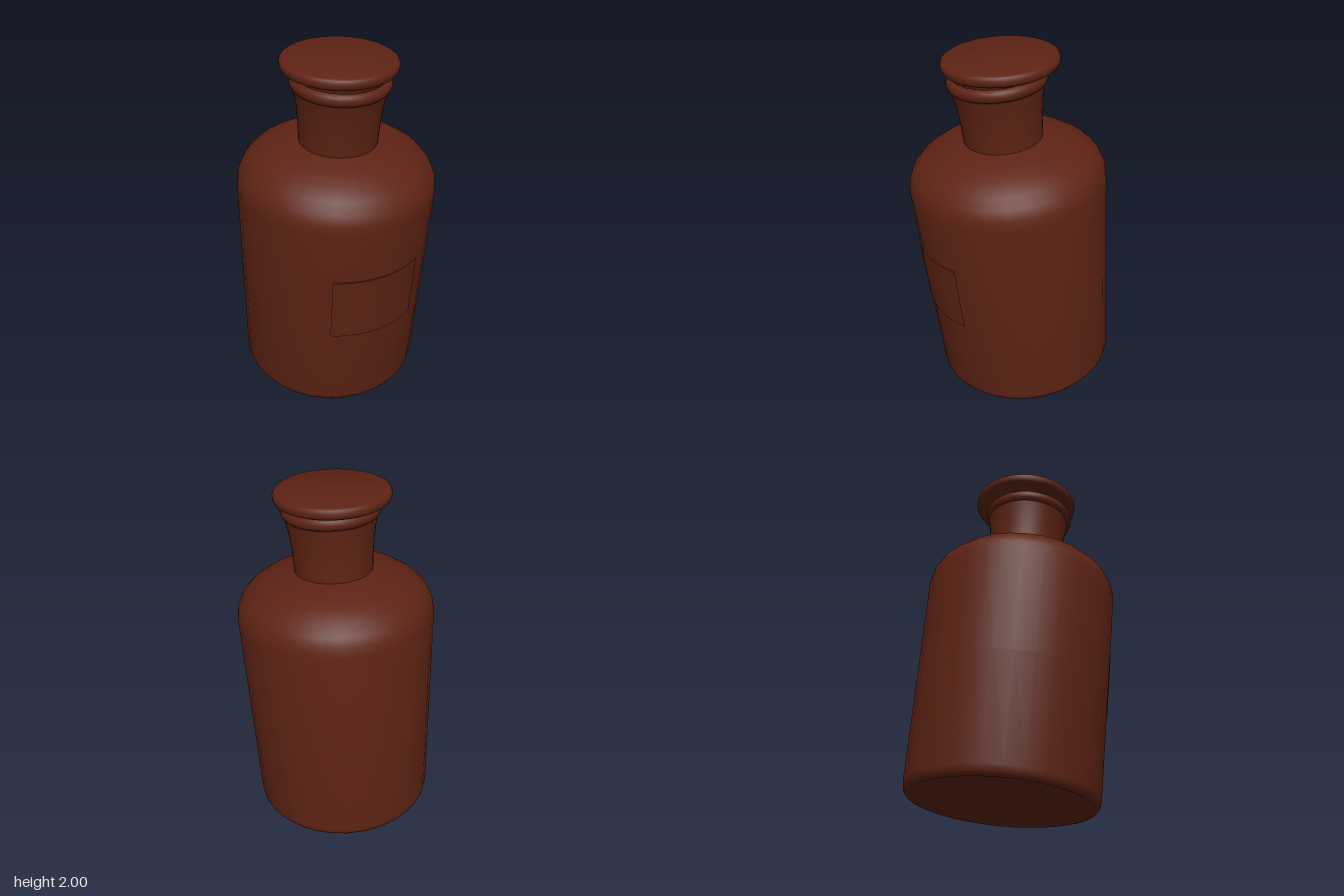
import * as THREE from 'three';
import { toCreasedNormals } from 'three/addons/utils/BufferGeometryUtils.js';

const glass = new THREE.MeshStandardMaterial({ color: 0x5e2314, side: THREE.DoubleSide });

// Turned part from [radius, height] pairs, listed from the bottom centre upwards
function turned(name, profile, sides, start = 0, sweep = Math.PI * 2) {
  const points = profile.map(([r, y]) => new THREE.Vector2(r, y));
  const geometry = new THREE.LatheGeometry(points, sides, start, sweep);
  const mesh = new THREE.Mesh(toCreasedNormals(geometry, 0.75), glass);
  mesh.name = name;
  return mesh;
}

export function createModel() {
  const model = new THREE.Group();
  model.name = 'stopperedBottle';

  // The whole bottle leans gently towards the front
  const bottle = new THREE.Group();
  bottle.name = 'bottle';
  bottle.position.set(0, 0.05, -0.075);
  bottle.rotation.x = THREE.MathUtils.degToRad(5.5);
  model.add(bottle);

  // Body: slightly recessed base, widening wall, round shoulder
  bottle.add(turned('body', [
    [0, 0.012], [0.46, 0.012], [0.485, 0], [0.505, 0.006], [0.517, 0.022], [0.521, 0.05],
    [0.534, 0.64], [0.547, 1.23], [0.541, 1.285], [0.518, 1.335], [0.472, 1.386],
    [0.4, 1.432], [0.31, 1.466], [0.2, 1.492],
  ], 32));

  // Neck with a rolled lip, open at the top
  const lip = [];
  for (let i = 0; i <= 10; i++) {
    const a = -Math.PI / 2 + (i / 10) * Math.PI;
    lip.push([0.236 + 0.03 * Math.cos(a), 1.823 + 0.035 * Math.sin(a)]);
  }
  bottle.add(turned('neck', [
    [0.214, 1.46], [0.216, 1.52], [0.22, 1.6], [0.228, 1.68], [0.236, 1.735], [0.246, 1.788],
    ...lip, [0.215, 1.84], [0.2, 1.7],
  ], 48));

  // Curved label wrapped around the front, a little off centre
  const [bottom, top] = [0.545, 0.93];
  const wall = (y) => 0.52 + 0.022 * y;
  const start = THREE.MathUtils.degToRad(-23);
  const sweep = THREE.MathUtils.degToRad(55.8);
  bottle.add(turned('label', [
    [wall(bottom) - 0.01, bottom], [wall(bottom) + 0.005, bottom],
    [wall(top) + 0.005, top], [wall(top) - 0.01, top],
  ], 16, start, sweep));

  // Stopper: tapered plug under a wide flat disc, seated a little askew
  const stopper = turned('stopper', [
    [0, -0.26], [0.18, -0.26], [0.205, -0.14], [0.224, -0.085], [0.232, -0.07], [0.25, -0.062],
    [0.288, -0.06], [0.301, -0.053], [0.308, -0.038], [0.308, -0.02],
    [0.302, -0.007], [0.29, 0], [0, 0],
  ], 64);
  stopper.position.set(0, 1.983, 0.083);
  stopper.rotation.x = THREE.MathUtils.degToRad(3.8);
  model.add(stopper);

  return model;
}
